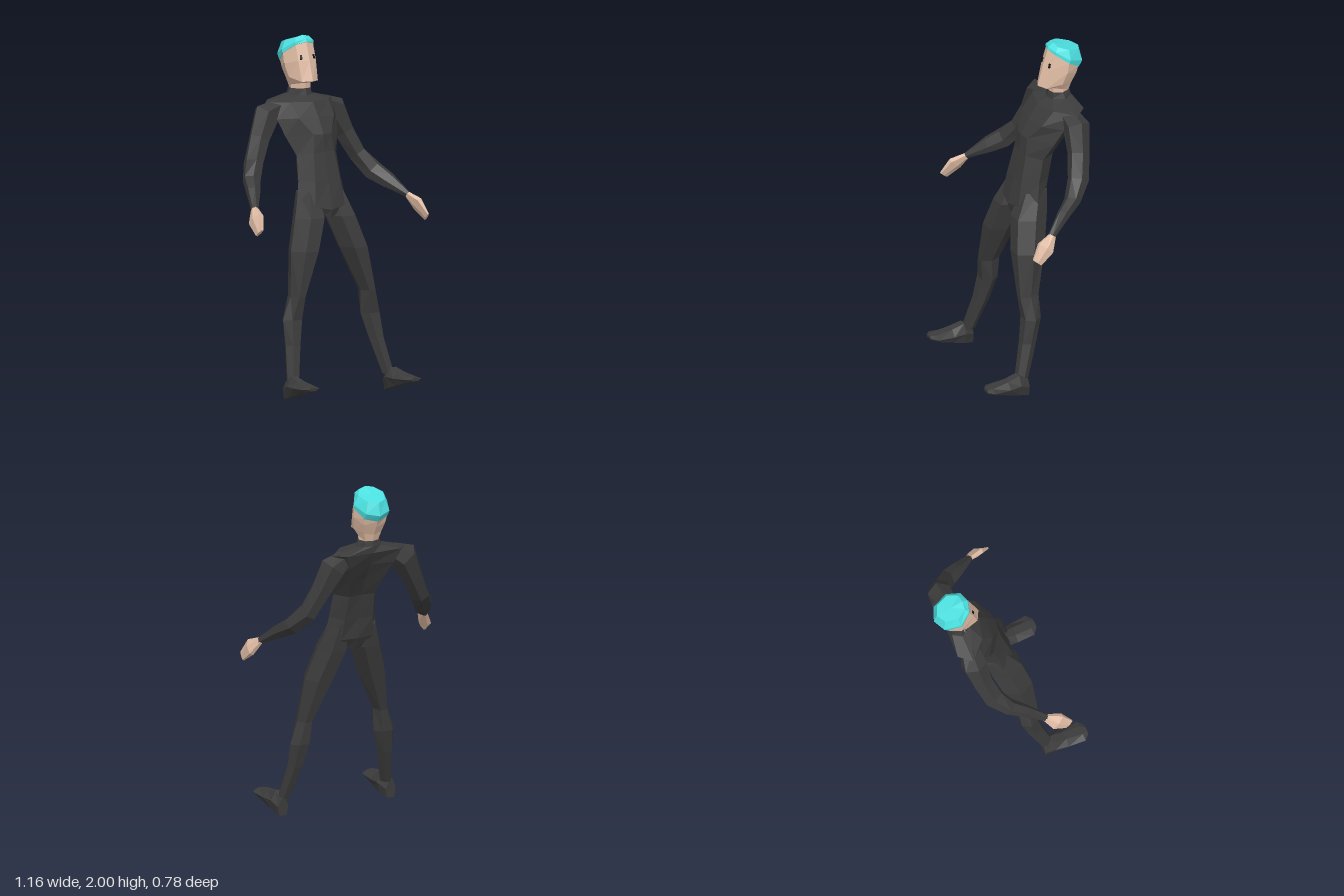
import * as THREE from 'three';

const mat = (name, color) => {
  const m = new THREE.MeshStandardMaterial({ color });
  m.name = name;
  return m;
};

// Skin rings of equal point count into a closed, faceted solid.
function loft(rings, material, name) {
  const tris = [];
  const n = rings[0].length;
  const centre = r => [0, 1, 2].map(k => r.reduce((s, p) => s + p[k], 0) / n);
  const first = rings[0], last = rings[rings.length - 1];
  const c0 = centre(first), c1 = centre(last);
  for (let j = 0; j < n; j++) {
    const k = (j + 1) % n;
    for (let i = 0; i < rings.length - 1; i++) {
      const a = rings[i], b = rings[i + 1];
      tris.push([a[j], a[k], b[k]], [a[j], b[k], b[j]]);
    }
    tris.push([c0, first[k], first[j]], [c1, last[j], last[k]]);
  }
  // Turn the faces outward whatever direction the rings ran in.
  let volume = 0;
  for (const [a, b, c] of tris) {
    volume += a[0] * (b[1] * c[2] - b[2] * c[1])
      + a[1] * (b[2] * c[0] - b[0] * c[2]) + a[2] * (b[0] * c[1] - b[1] * c[0]);
  }
  if (volume < 0) tris.forEach(t => t.reverse());
  const g = new THREE.BufferGeometry();
  g.setAttribute('position', new THREE.Float32BufferAttribute(tris.flat(2), 3));
  g.computeVertexNormals();
  const mesh = new THREE.Mesh(g, material);
  mesh.name = name;
  return mesh;
}

// Full ring from its left half, listed from front centre to back centre.
const mirrorRing = half => [
  ...half,
  ...half.slice(1, -1).reverse().map(([x, y, z]) => [-x, y, z]),
];

// Rings across a path of [x, y, z, thickness, breadth].
function limbRings(path, sides = 6) {
  const pts = path.map(p => new THREE.Vector3(p[0], p[1], p[2]));
  return path.map((p, i) => {
    const t = pts[Math.min(i + 1, pts.length - 1)].clone()
      .sub(pts[Math.max(i - 1, 0)]).normalize();
    const v = new THREE.Vector3(0, 0, 1).addScaledVector(t, -t.z).normalize();
    const u = new THREE.Vector3().crossVectors(t, v);
    return Array.from({ length: sides }, (_, k) => {
      const a = (k / sides) * Math.PI * 2;
      return pts[i].clone().addScaledVector(u, Math.cos(a) * p[3])
        .addScaledVector(v, Math.sin(a) * p[4]).toArray();
    });
  });
}

// Level rings of [y, centre x, centre z, half width, half depth].
const levelRings = (rows, sides = 6) => rows.map(([y, cx, cz, rx, rz]) =>
  Array.from({ length: sides }, (_, k) => {
    const a = (k / sides) * Math.PI * 2;
    return [cx + rx * Math.cos(a), y, cz + rz * 1.1 * Math.sin(a)];
  }));

// Foot sections of [z, x inner, x outer, y bottom, y top].
const footRings = rows => rows.map(([z, x0, x1, y0, y1]) => {
  const xm = (x0 + x1) / 2, w = (x1 - x0) / 2, ym = y0 + (y1 - y0) * 0.55;
  return [[xm - w * 0.7, y0, z], [xm + w * 0.7, y0, z], [x1, ym, z],
    [xm + w * 0.4, y1, z], [xm - w * 0.4, y1, z], [x0, ym, z]];
});

export function createModel() {
  const suit = mat('suit black', 0x3b3b3b);
  const skin = mat('skin', 0xe0bca4);
  const hair = mat('hair turquoise', 0x4ce0e0);
  const dark = mat('eye black', 0x141414);
  const metal = mat('earring grey', 0x8c8c8c);
  const model = new THREE.Group();
  model.name = 'figure';

  // Torso, leaning back from hips to collar
  model.add(loft([
    [[0, 0.99, 0.06], [0.04, 1.01, 0.05], [0.07, 1.01, -0.02], [0.05, 1.01, -0.08], [0, 0.99, -0.08]],
    [[0, 1.04, 0.073], [0.1, 1.06, 0.055], [0.17, 1.06, -0.03], [0.1, 1.07, -0.11], [0, 1.07, -0.12]],
    [[0, 1.2, 0.036], [0.085, 1.2, 0.03], [0.145, 1.2, -0.05], [0.09, 1.19, -0.135], [0, 1.19, -0.13]],
    [[0, 1.36, 0], [0.07, 1.36, -0.005], [0.135, 1.34, -0.08], [0.08, 1.34, -0.17], [0, 1.34, -0.16]],
    [[0, 1.46, -0.01], [0.06, 1.46, -0.02], [0.18, 1.45, -0.13], [0.11, 1.46, -0.24], [0, 1.46, -0.22]],
    [[0, 1.55, -0.06], [0.12, 1.55, -0.08], [0.2, 1.54, -0.18], [0.14, 1.55, -0.29], [0, 1.55, -0.27]],
    [[0, 1.63, -0.115], [0.13, 1.635, -0.15], [0.23, 1.63, -0.25], [0.17, 1.635, -0.32], [0, 1.63, -0.31]],
    [[0, 1.66, -0.175], [0.045, 1.665, -0.19], [0.08, 1.665, -0.25], [0.05, 1.67, -0.3], [0, 1.67, -0.31]],
    [[0, 1.7, -0.185], [0.04, 1.7, -0.195], [0.063, 1.7, -0.245], [0.045, 1.7, -0.295], [0, 1.7, -0.305]],
  ].map(mirrorRing), suit, 'torso'));

  // Neck, jaw and skull
  const hairline = [[0, 1.965, -0.18], [0.06, 1.95, -0.2], [0.1, 1.9, -0.265],
    [0.072, 1.85, -0.335], [0, 1.83, -0.358]];
  model.add(loft([
    [[0, 1.65, -0.19], [0.04, 1.65, -0.2], [0.058, 1.65, -0.245], [0.04, 1.65, -0.285], [0, 1.65, -0.295]],
    [[0, 1.73, -0.185], [0.04, 1.73, -0.195], [0.06, 1.72, -0.245], [0.04, 1.7, -0.29], [0, 1.69, -0.3]],
    [[0, 1.747, -0.115], [0.055, 1.745, -0.145], [0.084, 1.765, -0.23], [0.055, 1.75, -0.3], [0, 1.74, -0.315]],
    [[0, 1.86, -0.147], [0.06, 1.86, -0.172], [0.1, 1.84, -0.255], [0.068, 1.81, -0.325], [0, 1.79, -0.34]],
    hairline,
  ].map(mirrorRing), skin, 'head'));

  // Hair cap
  model.add(loft([
    hairline.map(([x, y, z]) => [x * 1.04, y, -0.265 + (z + 0.265) * 1.04]),
    [[0, 1.98, -0.183], [0.062, 1.967, -0.2], [0.105, 1.92, -0.27], [0.074, 1.885, -0.36], [0, 1.87, -0.39]],
    [[0, 2, -0.215], [0.045, 1.99, -0.22], [0.078, 1.972, -0.275], [0.055, 1.952, -0.345], [0, 1.945, -0.372]],
  ].map(mirrorRing), hair, 'hair'));

  // Single earring on the right
  const ring = new THREE.Mesh(new THREE.TorusGeometry(0.011, 0.002, 5, 12), metal);
  ring.position.set(-0.11, 1.835, -0.25);
  ring.name = 'earring';
  model.add(ring);

  for (const side of [1, -1]) {
    const label = side > 0 ? 'left' : 'right';
    const flip = rings => rings.map(r => r.map(([x, y, z]) => [x * side, y, z]));

    // Eye
    const eye = new THREE.Mesh(new THREE.BoxGeometry(0.012, 0.026, 0.006), dark);
    eye.position.set(side * 0.043, 1.88, -0.169);
    eye.rotation.set(-0.28, side * 0.38, 0, 'YXZ');
    eye.name = label + 'Eye';
    model.add(eye);

    // Arm and hand
    model.add(loft(flip(limbRings([
      [0.15, 1.6, -0.235, 0.05, 0.06],
      [0.225, 1.56, -0.245, 0.085, 0.075],
      [0.29, 1.43, -0.225, 0.062, 0.062],
      [0.355, 1.3, -0.19, 0.053, 0.062],
      [0.415, 1.21, -0.12, 0.06, 0.045],
      [0.46, 1.16, -0.04, 0.048, 0.036],
      [0.523, 1.085, 0.065, 0.018, 0.022],
    ])), suit, label + 'Arm'));
    model.add(loft(flip(limbRings([
      [0.52, 1.09, 0.055, 0.016, 0.02],
      [0.553, 1.035, 0.12, 0.026, 0.056],
      [0.572, 0.967, 0.183, 0.01, 0.034],
    ])), skin, label + 'Hand'));

    // Leg
    model.add(loft(flip(levelRings([
      [1.14, 0.085, -0.05, 0.06, 0.07],
      [1.0, 0.105, -0.005, 0.093, 0.095],
      [0.82, 0.167, 0.035, 0.087, 0.09],
      [0.57, 0.24, 0.07, 0.042, 0.06],
      [0.44, 0.265, 0.065, 0.065, 0.05],
      [0.3, 0.285, 0.095, 0.047, 0.045],
      [0.1, 0.325, 0.155, 0.036, 0.036],
    ])), suit, label + 'Leg'));

    // Foot, toe raised
    model.add(loft(flip(footRings([
      [0.127, 0.31, 0.375, 0.002, 0.1],
      [0.185, 0.287, 0.39, 0.018, 0.135],
      [0.26, 0.283, 0.402, 0.04, 0.115],
      [0.36, 0.285, 0.41, 0.068, 0.1],
      [0.39, 0.32, 0.38, 0.077, 0.095],
    ])), suit, label + 'Foot'));
  }
  return model;
}
